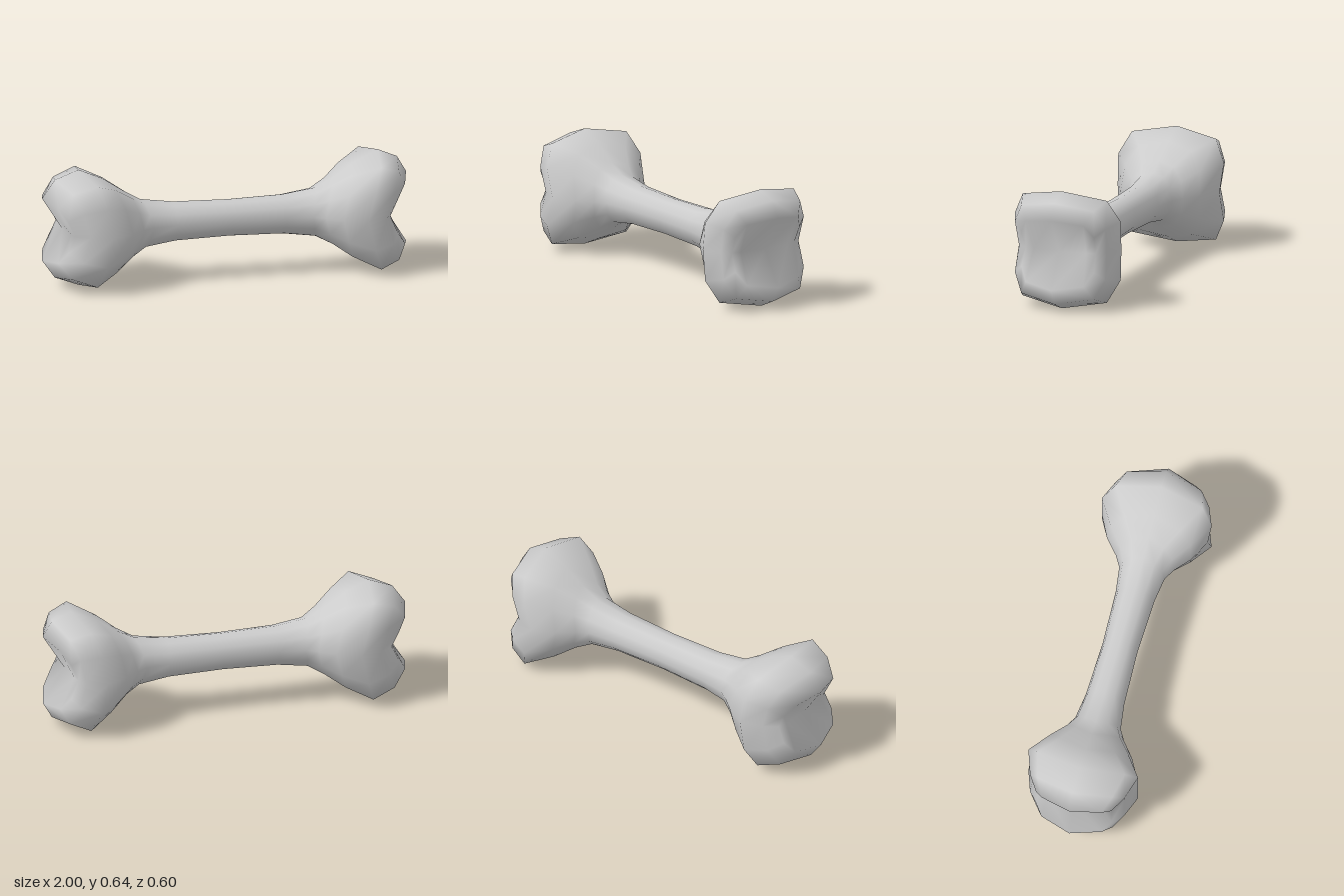
import * as THREE from 'three';

const MID_Y = 0.319;
const SIDES = 12;

// Each ring: x at top/bottom, half height, x at the sides, half depth, squareness (0 round, 1 boxy)
const RINGS = [
  // left knuckle
  [-1.0, 0.17, -0.87, 0.2, 1],
  [-0.93, 0.267, -0.8, 0.25, 1],
  [-0.8, 0.315, -0.68, 0.291, 1],
  [-0.67, 0.26, -0.56, 0.225, 0.5],
  [-0.55, 0.182, -0.48, 0.16, 0.2],
  [-0.46, 0.132, -0.42, 0.125, 0],
  // shaft
  [-0.28, 0.107, -0.28, 0.106, 0],
  [0.02, 0.1, 0.02, 0.096, 0],
  [0.32, 0.107, 0.32, 0.106, 0],
  // right knuckle
  [0.5, 0.132, 0.46, 0.125, 0],
  [0.6, 0.182, 0.52, 0.16, 0.2],
  [0.7, 0.252, 0.6, 0.23, 0.5],
  [0.845, 0.319, 0.72, 0.291, 1],
  [0.95, 0.275, 0.83, 0.25, 1],
  [1.0, 0.19, 0.86, 0.2, 1],
];

// One quarter of a ring, from the top to the side, then mirrored all round
function ringPoints([xTop, h, xSide, d, s]) {
  const lerp = THREE.MathUtils.lerp;
  const quarter = [
    [xTop, h, 0],
    [lerp(xTop, xSide, 0.35), 0.872 * h, lerp(0.5, 0.825, s) * d],
    [lerp(xTop, xSide, 0.7), 0.5 * h, lerp(0.866, 1.038, s) * d],
    [xSide, 0, d],
  ];
  const points = [];
  for (let j = 0; j < SIDES; j++) {
    const half = j <= 6 ? j : SIDES - j;
    const [x, y, z] = quarter[half <= 3 ? half : 6 - half];
    points.push([x, MID_Y + (half <= 3 ? y : -y), j <= 6 ? z : -z]);
  }
  return points;
}

function boneGeometry() {
  const positions = [];
  const index = [];
  const quad = (a, b, c, d, flip) => {
    if (flip) index.push(a, b, c, b, d, c);
    else index.push(a, c, b, b, c, d);
  };

  // Skin between neighbouring rings
  RINGS.forEach((ring) => positions.push(...ringPoints(ring).flat()));
  for (let i = 0; i < RINGS.length - 1; i++) {
    for (let j = 0; j < SIDES; j++) {
      const k = (j + 1) % SIDES;
      quad(i * SIDES + j, i * SIDES + k, (i + 1) * SIDES + j, (i + 1) * SIDES + k, true);
    }
  }

  // Notched end caps: two lobes meeting in a valley at mid height
  const cap = (ringNumber, valleyX, flip) => {
    const base = ringNumber * SIDES;
    const m = positions.length / 3;
    const edgeX = RINGS[ringNumber][2];
    const x = (valleyX + edgeX) / 2;
    positions.push(x, MID_Y, 0.15, valleyX, MID_Y, 0, x, MID_Y, -0.15);
    const top = [2, 1, 0, 11, 10].map((j) => base + j);
    const valley = [base + 3, m, m + 1, m + 2, base + 9];
    const bottom = [4, 5, 6, 7, 8].map((j) => base + j);
    for (let k = 0; k < 4; k++) {
      quad(top[k], top[k + 1], valley[k], valley[k + 1], flip);
      quad(valley[k], valley[k + 1], bottom[k], bottom[k + 1], flip);
    }
  };
  cap(0, -0.89, true);
  cap(RINGS.length - 1, 0.88, false);

  const geometry = new THREE.BufferGeometry();
  geometry.setAttribute('position', new THREE.Float32BufferAttribute(positions, 3));
  geometry.setIndex(index);
  geometry.computeVertexNormals();
  return geometry;
}

export function createModel() {
  const group = new THREE.Group();
  const bone = new THREE.Mesh(boneGeometry(), new THREE.MeshStandardMaterial({ color: 0xcccccc }));
  bone.name = 'bone';
  group.add(bone);
  return group;
}
